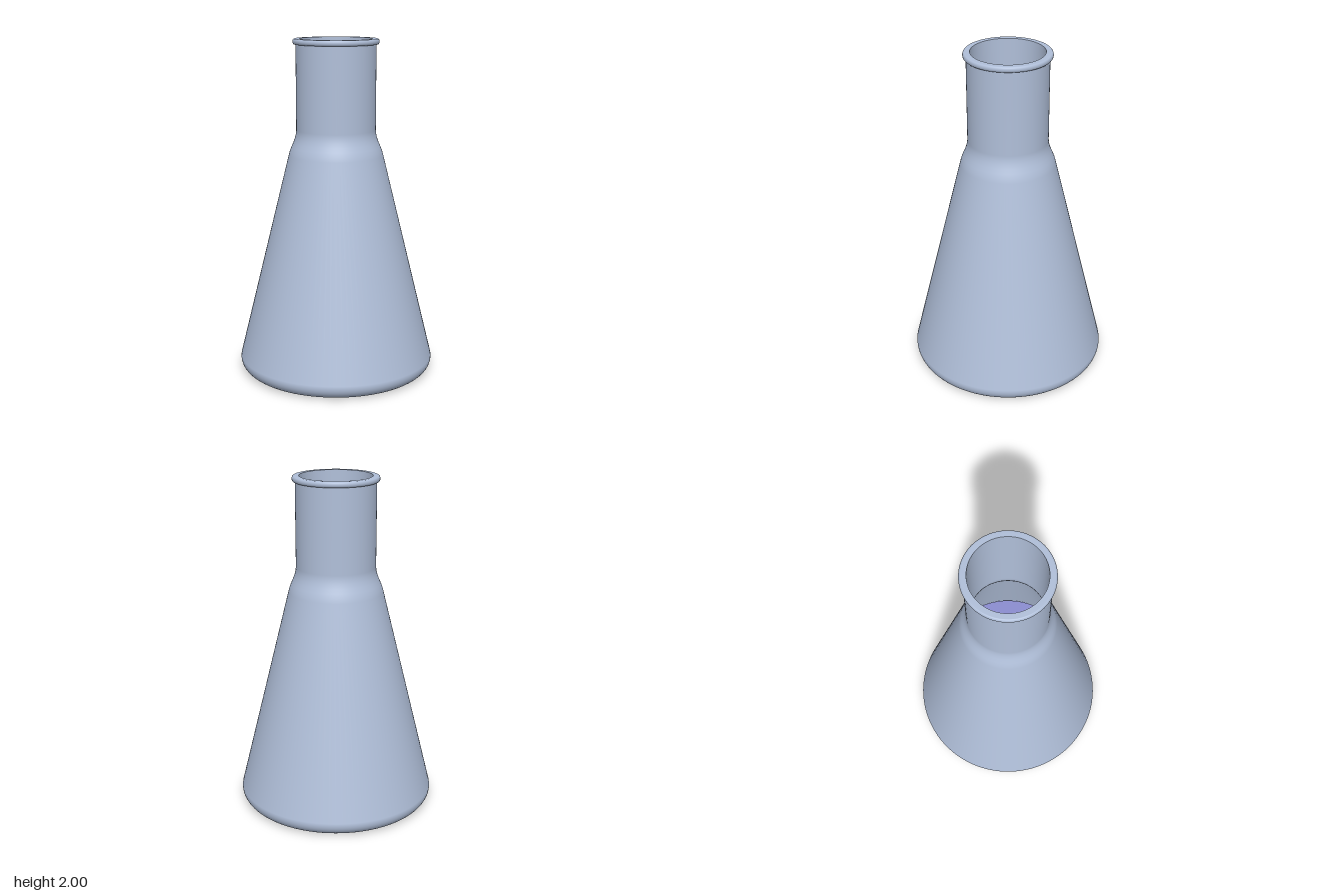
import * as THREE from 'three';

const SEGMENTS = 96;

// Sweeps [radius, y] points round the y axis; upward profiles face outward
function lathe(name, profile, material) {
  const points = profile.map(([r, y]) => new THREE.Vector2(r, y));
  const mesh = new THREE.Mesh(new THREE.LatheGeometry(points, SEGMENTS), material);
  mesh.name = name;
  return mesh;
}

// Quarter-ellipse points from angle a to b around (r, y)
function arc(r, y, rx, ry, a, b, steps = 8) {
  return Array.from({ length: steps + 1 }, (_, i) => {
    const t = a + ((b - a) * i) / steps;
    return [r + rx * Math.cos(t), y + ry * Math.sin(t)];
  });
}

export function createModel() {
  const glass = new THREE.MeshStandardMaterial({ color: 0xb0bfd9 });
  glass.name = 'pale blue glass';
  const violet = new THREE.MeshStandardMaterial({ color: 0x8a8dd0 });
  violet.name = 'violet liquid';

  const flask = new THREE.Group();
  flask.name = 'conicalFlask';

  // Flat base with a rounded heel, sloping body, curved shoulder and neck
  const heel = arc(0.505, 0.075, 0.08, 0.075, -Math.PI / 2, 0.2, 10);
  const shoulder = [
    [0.28, 1.32], [0.273, 1.345], [0.263, 1.37], [0.252, 1.395],
    [0.243, 1.42], [0.237, 1.445], [0.235, 1.47],
  ];
  flask.add(lathe('outerWall', [[0, 0], [0.3, 0], ...heel, ...shoulder, [0.235, 1.97]], glass));

  // Rolled lip: flat underside, rounded edge and flat top
  flask.add(lathe('lip', [
    [0.233, 1.967], [0.242, 1.967],
    ...arc(0.242, 1.9835, 0.011, 0.0165, -Math.PI / 2, Math.PI / 2),
    [0.212, 2],
  ], glass));

  // Inner wall runs downward so that it faces the axis
  const innerHeel = arc(0.5, 0.09, 0.06, 0.065, 0.2, -Math.PI / 2, 8);
  flask.add(lathe('innerWall', [
    [0.212, 2], [0.212, 1.47],
    ...shoulder.slice(0, -1).reverse().map(([r, y]) => [r - 0.023, y]),
    ...innerHeel, [0, 0.025],
  ], glass));

  // Liquid filling the lower part of the body
  const level = 0.65;
  const liquid = new THREE.Group();
  liquid.name = 'liquid';
  const liquidHeel = arc(0.495, 0.095, 0.055, 0.06, -Math.PI / 2, 0.2, 8);
  liquid.add(lathe('liquidBody', [[0, 0.035], ...liquidHeel, [0.415, level]], violet));
  const surface = new THREE.Mesh(new THREE.CircleGeometry(0.415, SEGMENTS), violet);
  surface.name = 'liquidSurface';
  surface.rotation.x = -Math.PI / 2;
  surface.position.y = level;
  liquid.add(surface);
  flask.add(liquid);

  return flask;
}
